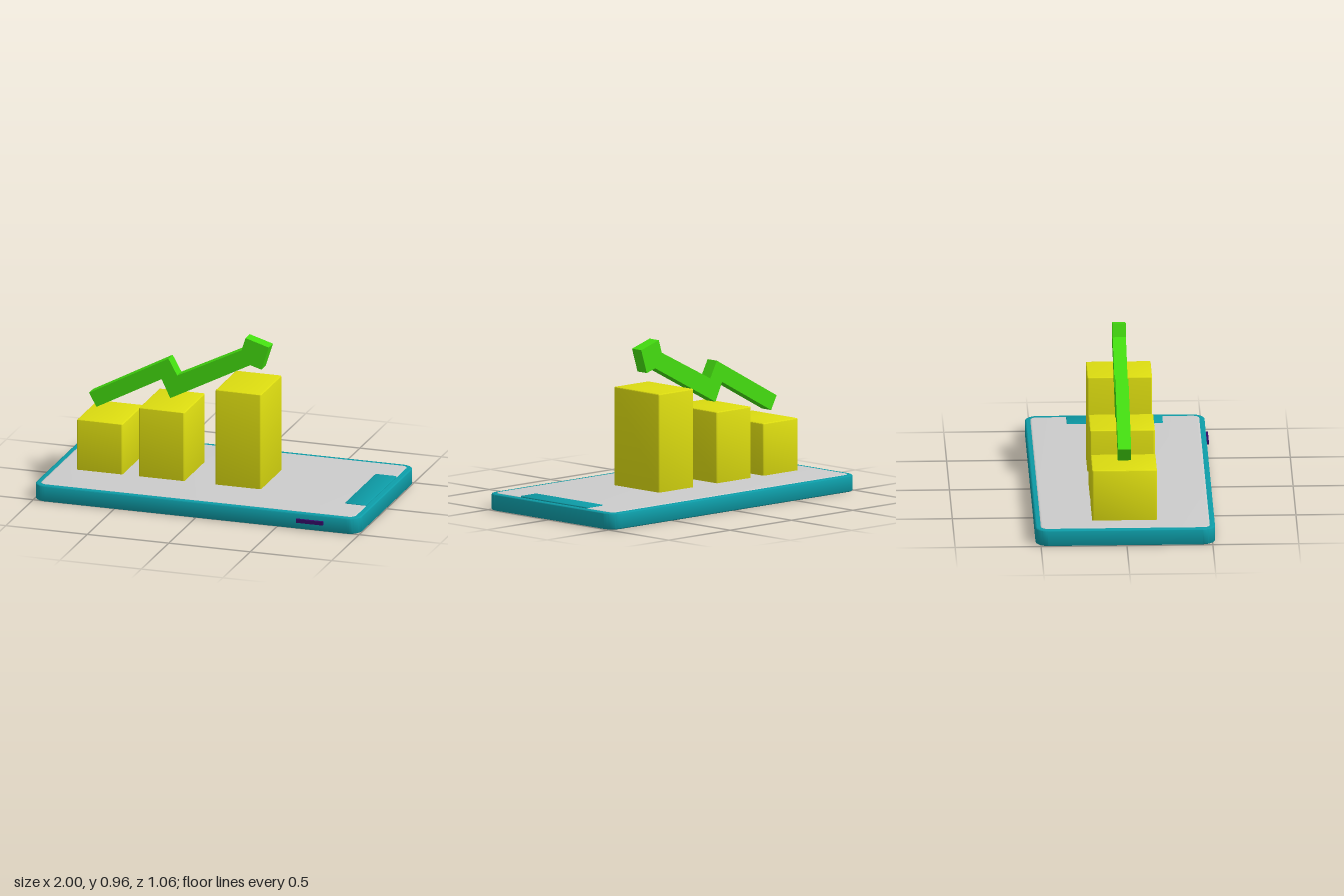
import * as THREE from 'three';
import { toCreasedNormals } from 'three/addons/utils/BufferGeometryUtils.js';

const teal = new THREE.MeshStandardMaterial({ color: 0x0d9ba6 });
const grey = new THREE.MeshStandardMaterial({ color: 0xcccccc });
const yellow = new THREE.MeshStandardMaterial({ color: 0xdddd10 });
const green = new THREE.MeshStandardMaterial({ color: 0x44dd10 });
const purple = new THREE.MeshStandardMaterial({ color: 0x330a66 });

// Rounded rectangle in plan, raised from y0 to y1 with a small edge bevel
function slab(name, material, [x0, x1], [z0, z1], [y0, y1], radius, bevel, bevelHeight = bevel) {
  const a = x0 + bevel, b = x1 - bevel, c = -z1 + bevel, d = -z0 - bevel;
  const r = Math.max(radius - bevel, 0.002);
  const s = new THREE.Shape();
  s.absarc(b - r, c + r, r, -Math.PI / 2, 0);
  s.absarc(b - r, d - r, r, 0, Math.PI / 2);
  s.absarc(a + r, d - r, r, Math.PI / 2, Math.PI);
  s.absarc(a + r, c + r, r, Math.PI, Math.PI * 1.5);
  s.closePath();
  const geometry = new THREE.ExtrudeGeometry(s, {
    depth: y1 - y0 - 2 * bevelHeight,
    bevelEnabled: true, bevelSize: bevel, bevelThickness: bevelHeight,
    bevelSegments: 3, curveSegments: 8,
  });
  geometry.rotateX(-Math.PI / 2).translate(0, y0 + bevelHeight, 0);
  const mesh = new THREE.Mesh(toCreasedNormals(geometry, 0.7), material);
  mesh.name = name;
  return mesh;
}

export function createModel() {
  const model = new THREE.Group();
  model.name = 'phoneWithGrowthChart';

  // Phone lying flat, with screen, notch and side button
  model.add(slab('phoneBody', teal, [-1, 1], [-0.53, 0.515], [0, 0.097], 0.075, 0.012, 0.006));
  model.add(slab('screen', grey, [-0.968, 0.966], [-0.5, 0.485], [0.07, 0.1], 0.04, 0.012, 0.004));
  model.add(slab('notch', teal, [0.835, 0.966], [-0.29, 0.27], [0.08, 0.105], 0.012, 0.004, 0.003));

  const button = new THREE.Mesh(new THREE.BoxGeometry(0.165, 0.022, 0.04), purple);
  button.name = 'sideButton';
  button.position.set(0.704, 0.053, 0.51);
  model.add(button);

  // Three rising chart bars
  const bars = new THREE.Group();
  bars.name = 'chartBars';
  [[-0.84, 0.408], [-0.46, 0.52], [0.01, 0.68]].forEach(([x, top], i) => {
    bars.add(slab(`bar${i + 1}`, yellow, [x, x + 0.28], [-0.197, 0.18], [0.09, top], 0.008, 0.006));
  });
  model.add(bars);

  // Zigzag arrow above the bars
  const outline = [
    [-0.815, 0.527], [-0.77, 0.445], [-0.37, 0.658], [-0.317, 0.547], [0.174, 0.802], [0.243, 0.782],
    [0.288, 0.922], [0.145, 0.965], [0.121, 0.888], [-0.274, 0.69], [-0.328, 0.788],
  ].map(([x, y]) => new THREE.Vector2(x, y));
  const arrowGeometry = new THREE.ExtrudeGeometry(new THREE.Shape(outline), { depth: 0.077, bevelEnabled: false });
  arrowGeometry.translate(0, 0, -0.046);
  const arrow = new THREE.Mesh(arrowGeometry, green);
  arrow.name = 'risingArrow';
  model.add(arrow);

  return model;
}
